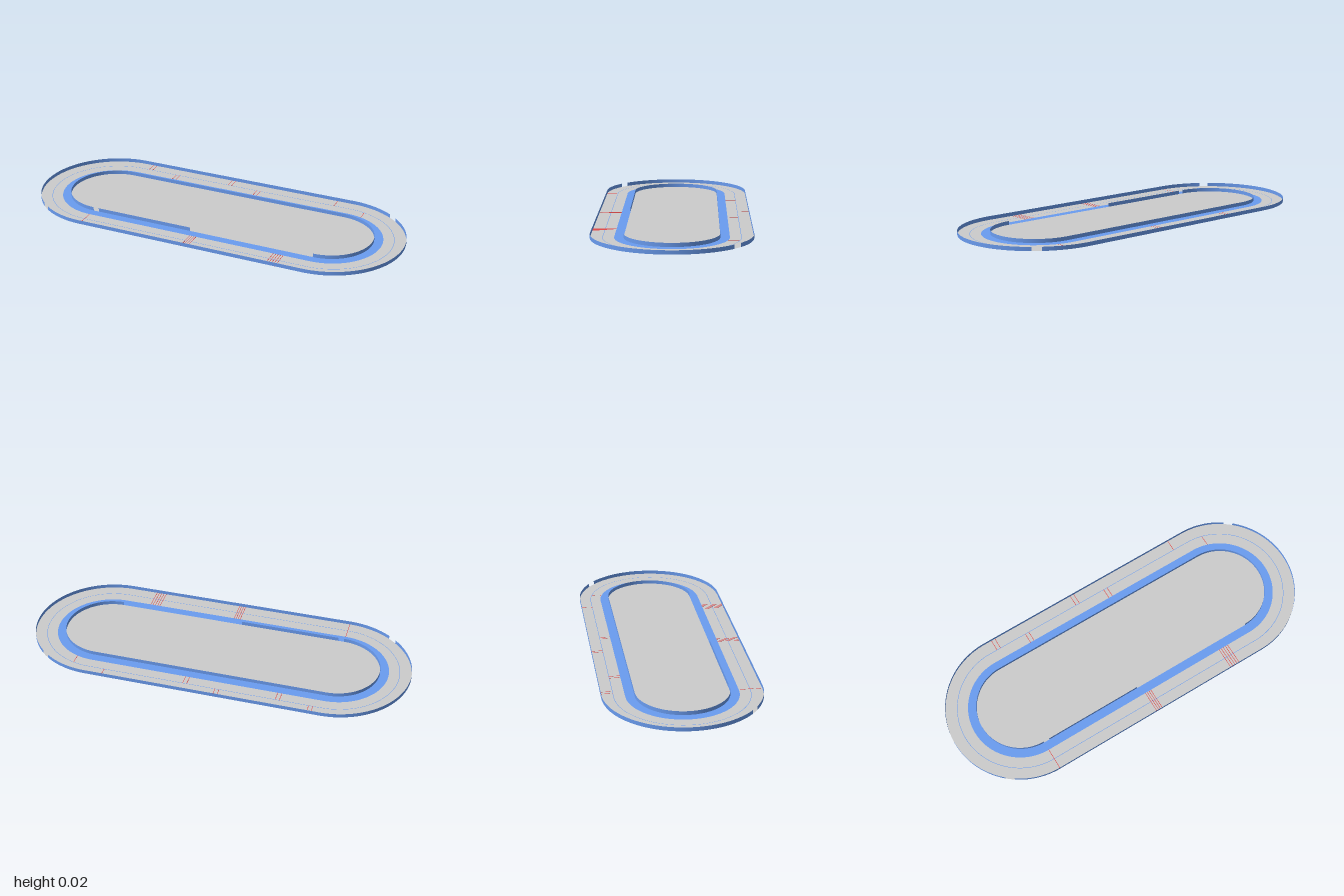
import * as THREE from 'three';

const CX = 0.61;          // centres of the two end curves
const WALL = 0.02;        // wall height
const OUTER = 0.39, INNER = 0.23, BAND = 0.275, LANE = 0.33;
const deg = THREE.MathUtils.degToRad;

const mat = (color) => new THREE.MeshStandardMaterial({ color, side: THREE.DoubleSide });

// Closed oval; path y becomes world z
function oval(r, PathType = THREE.Path) {
  const p = new PathType();
  p.absarc(CX, 0, r, -Math.PI / 2, Math.PI / 2, false);
  p.absarc(-CX, 0, r, Math.PI / 2, Math.PI * 1.5, false);
  p.closePath();
  return p;
}

// Flat ring (or full oval when r0 is 0) lying on the ground
function flatOval(name, r0, r1, material) {
  const shape = oval(r1, THREE.Shape);
  if (r0 > 0) shape.holes.push(oval(r0));
  const geo = new THREE.ShapeGeometry(shape, 40).rotateX(Math.PI / 2).translate(0, 0.0005, 0);
  const mesh = new THREE.Mesh(geo, material);
  mesh.name = name;
  return mesh;
}

// Thin upright wall following an open path
function wall(name, path, material) {
  const pts = path.getPoints(40);
  const pos = [], index = [];
  pts.forEach((p, i) => {
    pos.push(p.x, 0, p.y, p.x, WALL, p.y);
    if (i > 0) {
      const a = 2 * (i - 1);
      index.push(a, a + 1, a + 2, a + 1, a + 3, a + 2);
    }
  });
  const geo = new THREE.BufferGeometry();
  geo.setAttribute('position', new THREE.Float32BufferAttribute(pos, 3));
  geo.setIndex(index);
  geo.computeVertexNormals();
  const mesh = new THREE.Mesh(geo, material);
  mesh.name = name;
  return mesh;
}

export function createModel() {
  const model = new THREE.Group();
  model.name = 'ovalTrack';
  const grey = mat(0xcccccc), blue = mat(0x6a9cf0), red = mat(0xe04848);

  // Ground surfaces
  model.add(
    flatOval('infield', 0, INNER, grey),
    flatOval('innerBand', INNER, BAND, blue),
    flatOval('innerLane', BAND, LANE - 0.0012, grey),
    flatOval('laneLine', LANE - 0.0012, LANE + 0.0012, blue),
    flatOval('outerLane', LANE + 0.0012, OUTER, grey),
  );

  // Outer wall: two halves with a gap at opposite corners
  for (const turn of [0, Math.PI]) {
    const path = new THREE.Path();
    path.absarc(CX, 0, OUTER, deg(-48), deg(90), false);
    path.absarc(-CX, 0, OUTER, deg(90), deg(125), false);
    const half = wall('outerWall', path, blue);
    half.rotation.y = turn;
    model.add(half);
  }

  // Inner wall: long run around the infield, and a short run between two gates
  const longRun = new THREE.Path();
  longRun.moveTo(0, INNER);
  longRun.absarc(CX, 0, INNER, deg(90), deg(-90), true);
  longRun.absarc(-CX, 0, INNER, deg(-90), deg(-270), true);
  const shortRun = new THREE.Path();
  shortRun.moveTo(-0.58, INNER);
  shortRun.lineTo(-0.055, INNER);
  model.add(wall('innerWall', longRun, blue), wall('innerWallFront', shortRun, blue));

  // Red marks across the lanes: x positions, z range
  const marks = [
    { name: 'outerBackMark', xs: [-0.567, -0.546, -0.087, -0.066, 0.523], z: [-OUTER, -LANE] },
    { name: 'innerBackMark', xs: [-0.397, -0.376, 0.083, 0.104], z: [-LANE, -BAND] },
    { name: 'curveMark', xs: [0.694], z: [-0.317, -0.264] },
    { name: 'frontMark', xs: [-0.61, -0.033, -0.022, -0.011, 0, 0.42, 0.433, 0.446, 0.459, 0.472], z: [BAND, OUTER] },
  ];
  for (const { name, xs, z } of marks) {
    const geo = new THREE.BoxGeometry(0.0025, 0.001, z[1] - z[0]);
    for (const x of xs) {
      const mark = new THREE.Mesh(geo, red);
      mark.name = name;
      mark.position.set(x, 0.0005, (z[0] + z[1]) / 2);
      model.add(mark);
    }
  }
  return model;
}
